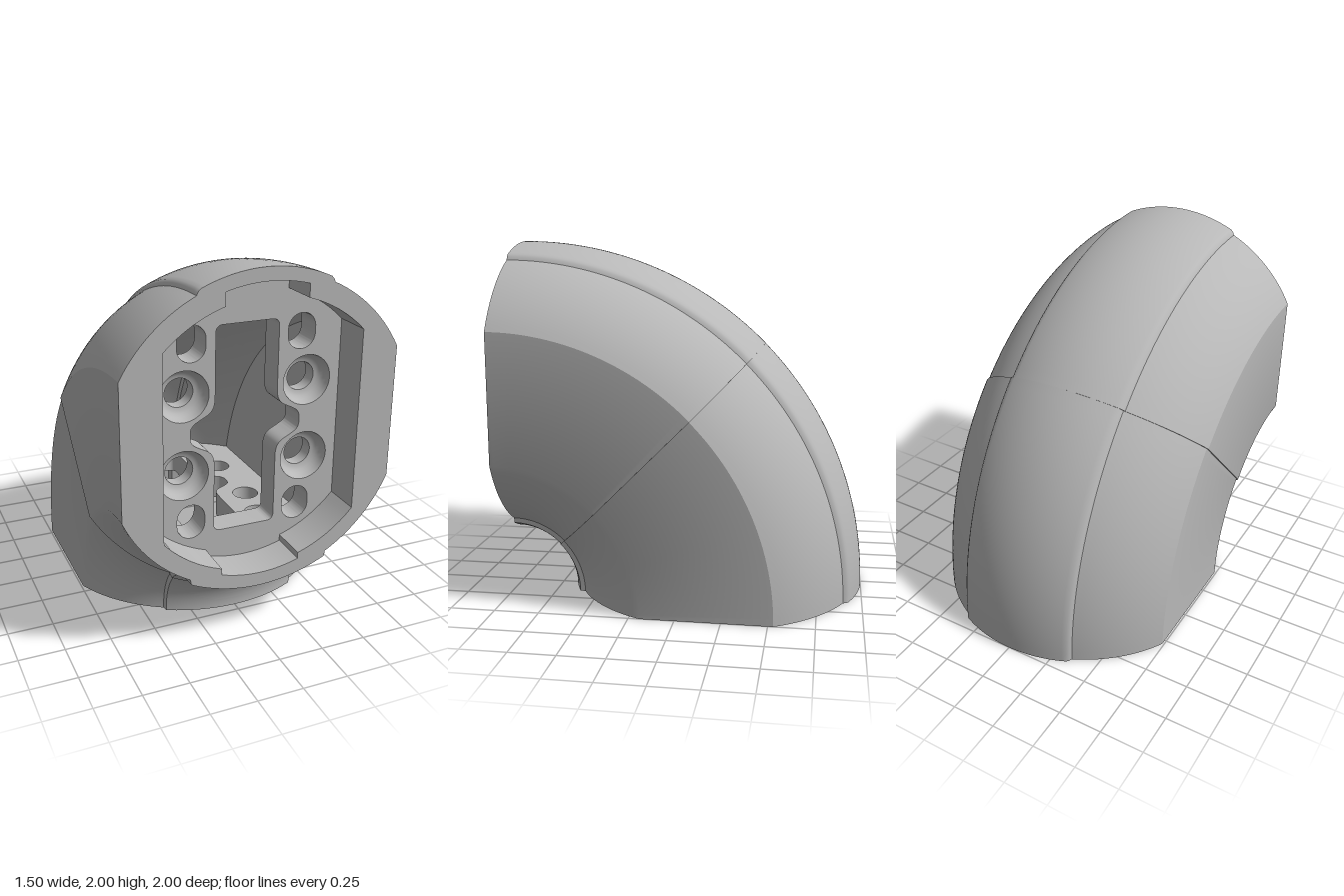
import * as THREE from 'three';
import { toCreasedNormals } from 'three/addons/utils/BufferGeometryUtils.js';

const RECESS = 0.21, PLATE = 0.15, MID = 1.115, SHIFT = 0.005;

// Arc centred on x = 0 through two points
function arc([x0, y0], [x1, y1], n = 14) {
  const c = (x1 * x1 + y1 * y1 - x0 * x0 - y0 * y0) / (2 * (y1 - y0));
  const r = Math.hypot(x0, y0 - c);
  const a = Math.atan2(x0, y0 - c), b = Math.atan2(x1, y1 - c);
  return Array.from({ length: n + 1 }, (_, i) => {
    const t = a + (b - a) * i / n;
    return new THREE.Vector2(r * Math.sin(t), c + r * Math.cos(t));
  });
}

// Close a right-hand half profile by mirroring it
function mirrorProfile(half) {
  half[0].x = half[half.length - 1].x = 0;
  const left = half.slice(1, -1).reverse().map(p => new THREE.Vector2(-p.x, p.y));
  return [...half, ...left];
}

// Inside outline, with the height of its top channel
const innerProfile = top => mirrorProfile([
  ...arc([0, 0.375], [0.22, 0.41], 8),
  ...arc([0.22, 0.445], [0.535, 0.65], 8),
  ...arc([0.535, 1.64], [0.22, 1.83], 8),
  ...arc([0.22, top - 0.03], [0, top], 8),
]);

// Skin closed cross-sections; point(p, t) places profile point p at step t
function skin(profile, steps, point, inward) {
  const pos = [], idx = [], n = profile.length;
  for (let i = 0; i <= steps; i++) for (const p of profile) pos.push(...point(p, i / steps));
  for (let i = 0; i < steps; i++) for (let k = 0; k < n; k++) {
    const a = i * n + k, b = i * n + (k + 1) % n, c = a + n, d = b + n;
    idx.push(...(inward ? [a, b, c, b, d, c] : [a, c, b, b, c, d]));
  }
  const g = new THREE.BufferGeometry();
  g.setAttribute('position', new THREE.Float32BufferAttribute(pos, 3));
  g.setIndex(idx);
  return toCreasedNormals(g, 0.45);
}

// Position on the bend, whose axis runs along x at y = 0, z = 1
const bend = (p, a) => [p.x, p.y * Math.cos(a), 1 - p.y * Math.sin(a)];

function circlePath(x, y, r) {
  const p = new THREE.Path();
  p.absarc(x, y, r, 0, Math.PI * 2, true);
  return p;
}

// Rounded upright slot
function slotPath(x, y, r, h) {
  const p = new THREE.Path();
  p.absarc(x, y + h, r, 0, Math.PI, false);
  p.absarc(x, y - h, r, Math.PI, Math.PI * 2, false);
  p.closePath();
  return p;
}

// Central window with a notch on each side
function windowPath() {
  const w = 0.175, h = 0.565, r = 0.04;
  const p = new THREE.Path();
  const side = s => {
    p.lineTo(s * w, MID - s * 0.19);
    p.bezierCurveTo(s * w, MID - s * 0.1, s * 0.22, MID - s * 0.1, s * 0.27, MID - s * 0.07);
    p.quadraticCurveTo(s * 0.31, MID - s * 0.05, s * 0.31, MID - s * 0.015);
    p.lineTo(s * 0.31, MID + s * 0.015);
    p.quadraticCurveTo(s * 0.31, MID + s * 0.05, s * 0.27, MID + s * 0.07);
    p.bezierCurveTo(s * 0.22, MID + s * 0.1, s * w, MID + s * 0.1, s * w, MID + s * 0.19);
    p.lineTo(s * w, MID + s * (h - r));
    p.quadraticCurveTo(s * w, MID + s * h, s * (w - r), MID + s * h);
    p.lineTo(-s * (w - r), MID + s * h);
    p.quadraticCurveTo(-s * w, MID + s * h, -s * w, MID + s * (h - r));
  };
  p.moveTo(w, MID - h + r);
  side(1);
  side(-1);
  p.closePath();
  return p;
}

export function createModel() {
  const grey = new THREE.MeshStandardMaterial({ color: 0xb8b8b8 });
  grey.name = 'plain grey';

  const outer = mirrorProfile([
    ...arc([0, 0.3], [0.385, 0.39]),
    ...arc([0.39, 0.42], [0.745, 0.81]),
    ...arc([0.745, 1.53], [0.362, 1.895]),
    new THREE.Vector2(0.355, 1.912),
    ...arc([0.342, 1.926], [0, 2]),
  ]);
  const inner = innerProfile(1.93), cavity = innerProfile(1.9);

  // The outer skin sits slightly off centre, so the halves meet in a fine step
  const offset = dx => outer.map(p => new THREE.Vector2(p.x + dx, p.y));
  const ring = (dx, hole) => {
    const s = new THREE.Shape(offset(dx));
    s.holes.push(new THREE.Path(hole));
    return new THREE.ShapeGeometry(s);
  };

  // Flat plate with window, screw holes and small slots
  const plate = new THREE.Shape(inner);
  plate.holes.push(windowPath());
  for (const s of [-1, 1]) for (const v of [-1, 1]) {
    plate.holes.push(circlePath(s * 0.345, MID + v * 0.215, 0.137));
    plate.holes.push(slotPath(s * 0.305, MID + v * 0.485, 0.078, 0.018));
  }

  // Rounded counterbore liner
  const bore = new THREE.LatheGeometry([
    [0.137, 0], [0.132, -0.022], [0.123, -0.042], [0.109, -0.058], [0.093, -0.067],
    [0.078, -0.07], [0.078, -PLATE], [0.138, -PLATE],
  ].map(([x, y]) => new THREE.Vector2(x, y)), 40);
  bore.rotateX(Math.PI / 2);
  const boreGeo = toCreasedNormals(bore, 0.6);

  const geos = {
    outerShell: skin(offset(-SHIFT), 28, (p, t) => bend(p, t * Math.PI / 4), false),
    // The cavity starts inside the thickness of the plate
    innerCavity: skin(cavity, 24, (p, t) => {
      const a = Math.asin(Math.min(0.28 / p.y, 0.7));
      return bend(p, a + (Math.PI / 4 - a) * t);
    }, true),
    recessWall: skin(inner, 1, (p, t) => [p.x, p.y, 1 - t * (RECESS + 0.02)], true),
    endRim: ring(-SHIFT, inner).translate(0, 0, 1),
    seamFace: ring(SHIFT, cavity).rotateY(Math.PI).rotateX(-Math.PI / 4).translate(0, 0, 1),
    mountingPlate: toCreasedNormals(
      new THREE.ExtrudeGeometry(plate, { depth: PLATE, bevelEnabled: false, curveSegments: 20 })
        .translate(0, 0, 1 - RECESS - PLATE), 0.5),
  };

  // One half of the elbow, from its open end to the diagonal seam
  function half(name) {
    const g = new THREE.Group();
    g.name = name;
    const add = (part, geo) => {
      const m = new THREE.Mesh(geo, grey);
      m.name = part;
      g.add(m);
      return m;
    };
    for (const [part, geo] of Object.entries(geos)) add(part, geo);
    for (const s of [-1, 1]) for (const v of [-1, 1]) {
      add('screwHole', boreGeo).position.set(s * 0.345, MID + v * 0.215, 1 - RECESS);
    }
    return g;
  }

  const model = new THREE.Group();
  model.name = 'pipeElbow';
  const upper = half('upperHalf');
  // The lower half is the same piece turned over about the diagonal
  const lower = half('lowerHalf');
  lower.quaternion.setFromAxisAngle(new THREE.Vector3(0, 1, -1).normalize(), Math.PI);
  lower.position.set(0, 1, 1);
  model.add(upper, lower);
  return model;
}
